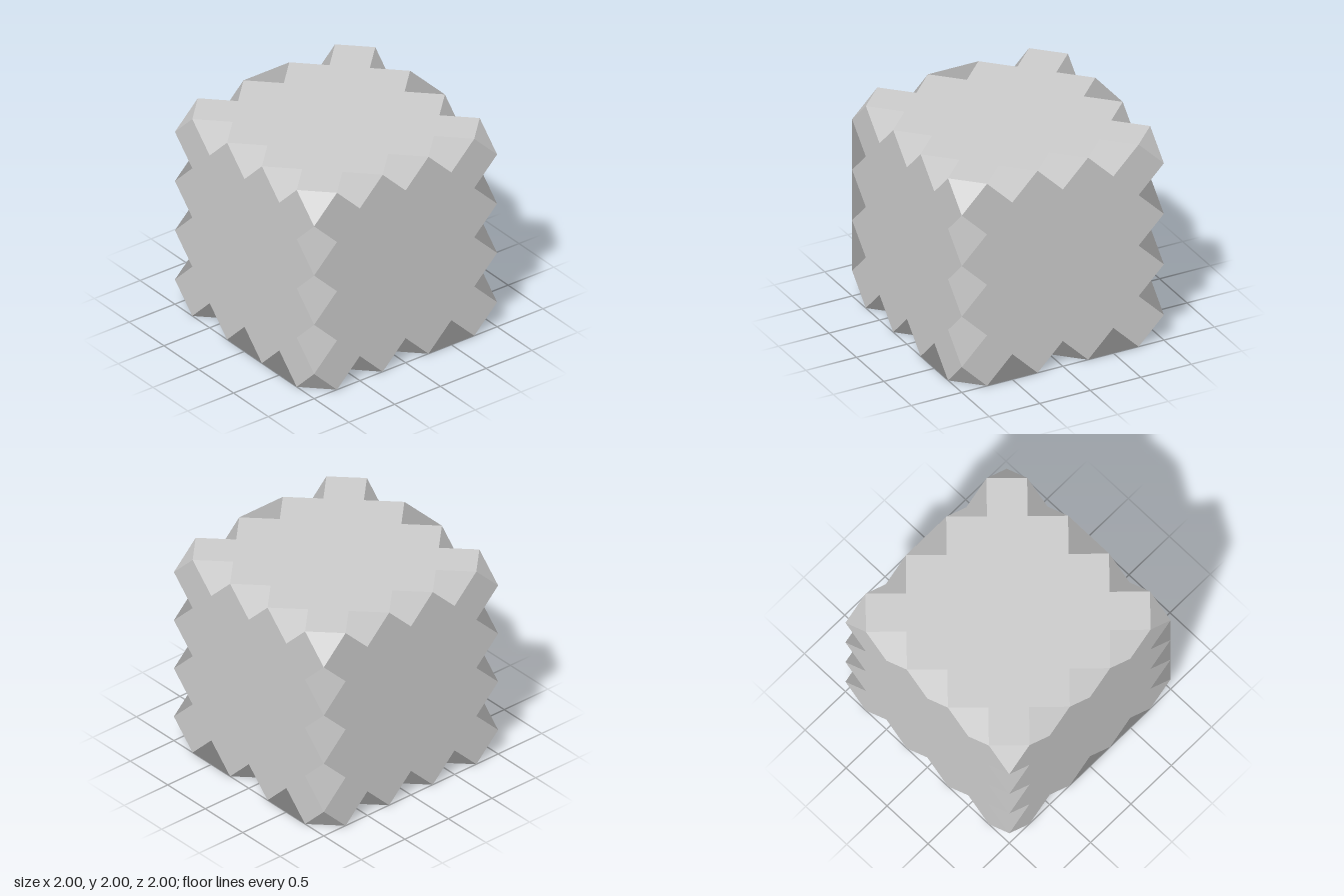
import * as THREE from 'three';

const V = (x, y, z) => new THREE.Vector3(x, y, z);
const material = new THREE.MeshStandardMaterial({ color: 0xcccccc });

// Mesh of a triangle or four-cornered facet carrying one flat normal
function facet(name, corners, normal, triangles) {
  const geometry = new THREE.BufferGeometry();
  const points = triangles.map((i) => corners[i]);
  // keep the front side facing outward
  const n = points.length === 3
    ? points[1].clone().sub(points[0]).cross(points[2].clone().sub(points[0]))
    : corners[2].clone().sub(corners[0]).cross(corners[3].clone().sub(corners[1]));
  if (n.dot(normal) < 0) points.reverse();
  geometry.setAttribute('position', new THREE.Float32BufferAttribute(points.flatMap((p) => p.toArray()), 3));
  geometry.setAttribute('normal', new THREE.Float32BufferAttribute(points.flatMap(() => normal.toArray()), 3));
  const mesh = new THREE.Mesh(geometry, material);
  mesh.name = name;
  return mesh;
}

// Square panel with a zigzag outline
function panelGeometry() {
  const points = [];
  for (let side = 0; side < 4; side++) {
    for (let i = -3; i <= 3; i++) {
      const p = new THREE.Vector2(i / 4, i % 2 ? 1 : 0.75);
      points.push(p.rotateAround(new THREE.Vector2(), (-side * Math.PI) / 2));
    }
  }
  return new THREE.ShapeGeometry(new THREE.Shape(points));
}

// Edges: the two outward directions, then three facets from the negative end to
// the positive end of the edge: N = notched inward, F = folded out flush
const EDGES = [
  [V(1, 0, 0), V(0, 0, 1), 'NNN'],
  [V(1, 0, 0), V(0, 0, -1), 'NNN'],
  [V(-1, 0, 0), V(0, 0, 1), 'FFF'],
  [V(-1, 0, 0), V(0, 0, -1), 'NNN'],
  [V(0, 1, 0), V(0, 0, 1), 'NFN'],
  [V(0, 1, 0), V(0, 0, -1), 'NFN'],
  [V(0, 1, 0), V(1, 0, 0), 'NFN'],
  [V(0, 1, 0), V(-1, 0, 0), 'NFN'],
  [V(0, -1, 0), V(0, 0, 1), 'NNF'],
  [V(0, -1, 0), V(0, 0, -1), 'NNN'],
  [V(0, -1, 0), V(1, 0, 0), 'FNF'],
  [V(0, -1, 0), V(-1, 0, 0), 'NFF'],
];

export function createModel() {
  const model = new THREE.Group();
  model.name = 'notchedCube';
  const body = new THREE.Group();
  body.name = 'body';
  body.position.y = 1;
  model.add(body);

  // Six face panels
  const panel = panelGeometry();
  const faces = {
    front: V(0, 0, 1), back: V(0, 0, -1), left: V(1, 0, 0),
    right: V(-1, 0, 0), top: V(0, 1, 0), bottom: V(0, -1, 0),
  };
  for (const [name, direction] of Object.entries(faces)) {
    const mesh = new THREE.Mesh(panel, material);
    mesh.name = name + 'Panel';
    mesh.position.copy(direction);
    if (direction.y) mesh.rotation.x = (-direction.y * Math.PI) / 2;
    else mesh.rotation.y = Math.atan2(direction.x, direction.z);
    body.add(mesh);
  }

  // Three facets along each of the twelve edges
  for (const [u, v, pattern] of EDGES) {
    const axis = V(1 - Math.abs(u.x + v.x), 1 - Math.abs(u.y + v.y), 1 - Math.abs(u.z + v.z));
    const normal = u.clone().add(v).normalize();
    [...pattern].forEach((kind, i) => {
      const at = (t, a, b) => V(0, 0, 0).addScaledVector(axis, t).addScaledVector(u, a).addScaledVector(v, b);
      const t = (i - 1) / 2;
      const corners = [at(t - 0.25, 1, 1), at(t, 0.75, 1), at(t + 0.25, 1, 1), at(t, 1, 0.75)];
      const notched = kind === 'N';
      body.add(facet(notched ? 'edgeNotch' : 'edgeFold', corners, normal,
        notched ? [0, 1, 3, 1, 2, 3] : [0, 1, 2, 0, 2, 3]));
    });
  }

  // Eight cut corners
  for (const x of [-1, 1]) for (const y of [-1, 1]) for (const z of [-1, 1]) {
    const corners = [V(0.75 * x, y, z), V(x, 0.75 * y, z), V(x, y, 0.75 * z)];
    body.add(facet('cutCorner', corners, V(x, y, z).normalize(), [0, 1, 2]));
  }
  return model;
}
